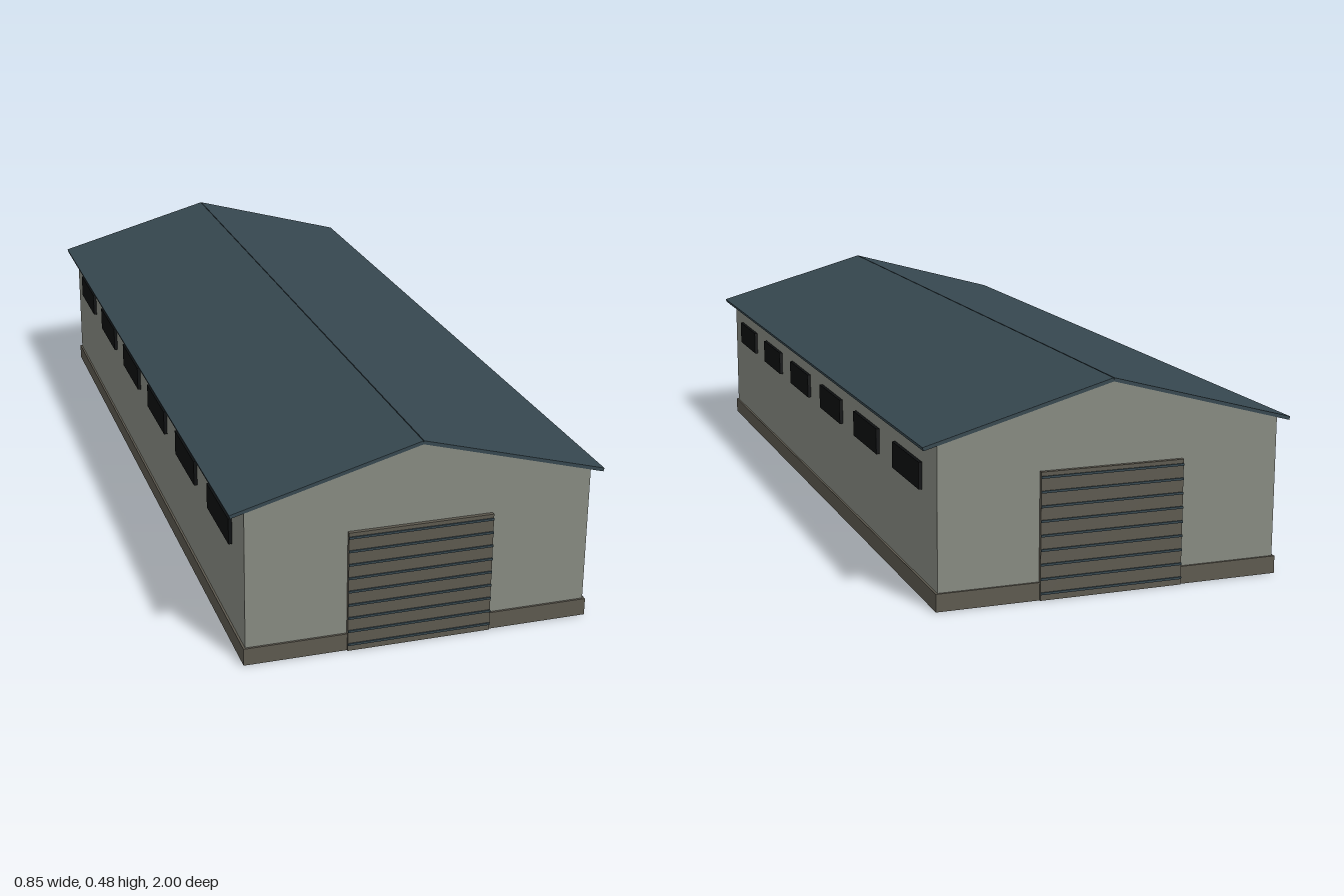
import * as THREE from 'three';

const mat = (name, color) => {
  const m = new THREE.MeshStandardMaterial({ color });
  m.name = name;
  return m;
};

export function createModel() {
  const wall = mat('wall grey', 0x878a81);
  const base = mat('plinth brown', 0x5d594f);
  const roof = mat('roof blue', 0x36474f);
  const glass = mat('window black', 0x0d0f10);

  const model = new THREE.Group();
  model.name = 'longShed';

  const box = (name, material, size, pos, parent = model) => {
    const mesh = new THREE.Mesh(new THREE.BoxGeometry(...size), material);
    mesh.name = name;
    mesh.position.set(...pos);
    parent.add(mesh);
    return mesh;
  };

  // Gabled hall, extruded along its length
  const halfLength = 0.988;
  const profile = new THREE.Shape([
    [-0.395, 0.002], [0.395, 0.002], [0.395, 0.36], [0, 0.469], [-0.395, 0.36],
  ].map(([x, y]) => new THREE.Vector2(x, y)));
  const hallGeometry = new THREE.ExtrudeGeometry(profile, { depth: halfLength * 2, bevelEnabled: false });
  hallGeometry.translate(0, 0, -halfLength);
  const hall = new THREE.Mesh(hallGeometry, wall);
  hall.name = 'walls';
  model.add(hall);

  // Plinth around the foot of the walls
  box('plinth', base, [0.8, 0.04, 1.986], [0, 0.02, 0]);

  // Two roof slabs meeting at the ridge
  const eave = { x: 0.426, y: 0.3545 }, ridgeY = 0.4715;
  const slope = Math.atan2(ridgeY - eave.y, eave.x);
  const slabWidth = Math.hypot(eave.x, ridgeY - eave.y);
  for (const side of [1, -1]) {
    const slab = box(side > 0 ? 'leftRoof' : 'rightRoof', roof, [slabWidth, 0.008, 1.98],
      [side * eave.x / 2, (eave.y + ridgeY) / 2, 0]);
    slab.rotation.z = -side * slope;

    // Row of high windows along each long wall
    for (let i = 0; i < 6; i++) {
      box('window', glass, [0.008, 0.06, 0.193], [side * 0.399, 0.27, (i - 2.5) * 0.3165]);
    }

    // Roller door with raised ribs at each gable end
    const door = new THREE.Group();
    door.name = side > 0 ? 'frontDoor' : 'backDoor';
    box('doorPanel', base, [0.332, 0.285, 0.012], [0, 0.1425, 0.991], door);
    for (let i = 0; i < 9; i++) {
      box('doorRib', roof, [0.332, 0.005, 0.006], [0, 0.016 + i * 0.0322, 0.997], door);
    }
    if (side < 0) door.rotation.y = Math.PI;
    model.add(door);
  }

  return model;
}
